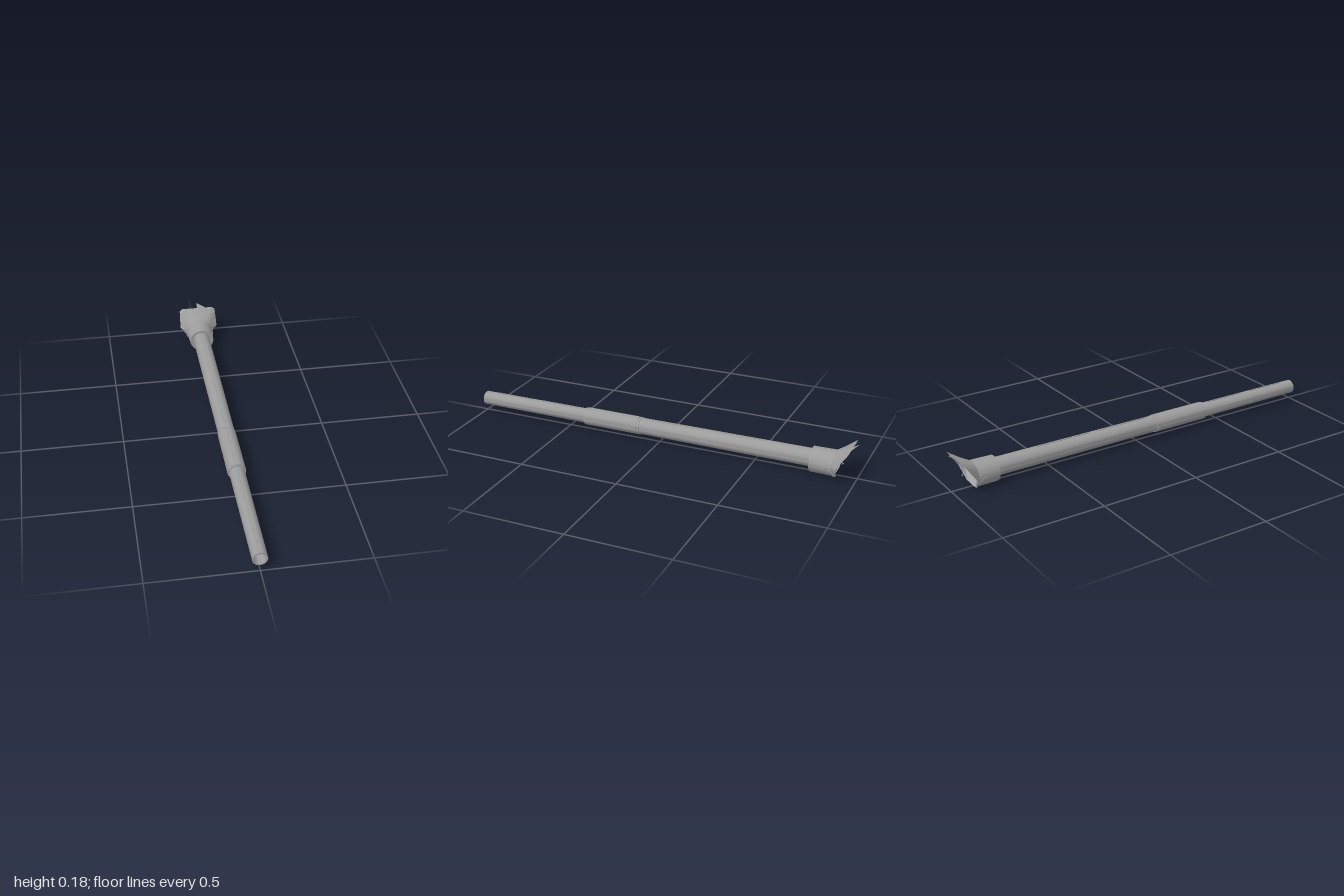
import * as THREE from 'three';
import { toCreasedNormals } from 'three/addons/utils/BufferGeometryUtils.js';

const steel = new THREE.MeshStandardMaterial({ color: 0x9c9c9c });
const steelThin = new THREE.MeshStandardMaterial({ color: 0x9c9c9c, side: THREE.DoubleSide });
const paleSteel = new THREE.MeshStandardMaterial({ color: 0xbbbbbb });
const AXIS = new THREE.Vector3(-0.002, 0.066, 0);

export function createModel() {
  const group = new THREE.Group();

  const add = (name, geometry, material = steel) => {
    const mesh = new THREE.Mesh(geometry, material);
    mesh.name = name;
    group.add(mesh);
    return mesh;
  };

  // Turned part along z; profile is [radius, z] with z rising on the outside
  const turned = (name, profile) => {
    const g = new THREE.LatheGeometry(profile.map(([r, z]) => new THREE.Vector2(r, z)), 32);
    g.rotateX(Math.PI / 2);
    add(name, toCreasedNormals(g, 0.5)).position.copy(AXIS);
  };

  // Barrel sections, front one with an open bore
  turned('rearBarrel', [[0.044, -0.86], [0.044, -0.78], [0.041, 0.12]]);
  turned('boreEvacuator', [[0.038, 0.1], [0.044, 0.1], [0.044, 0.109], [0.042, 0.109],
    [0.042, 0.113], [0.0445, 0.113], [0.0445, 0.402], [0.042, 0.402], [0.042, 0.41], [0.034, 0.41]]);
  turned('frontBarrel', [[0.037, 0.39], [0.0348, 1], [0.028, 1], [0.027, 0.8], [0, 0.8]]);

  // Raised strips along the top
  for (const [z0, z1, r] of [[0.93, 0.72, 0.0352], [0.67, 0.45, 0.0363],
    [0.06, -0.23, 0.0415], [-0.27, -0.56, 0.0425]]) {
    const strip = add('topStrip', new THREE.BoxGeometry(0.006, 0.006, z0 - z1));
    strip.position.set(AXIS.x, AXIS.y + r, (z0 + z1) / 2);
  }

  // Mantlet collar: widens sideways toward the rear
  const cy = 0.061, backZ = -0.89, rearX = 0.071, rearY = 0.061;
  const collar = new THREE.CylinderGeometry(0.064, 0.064, 0.11, 32, 4);
  collar.rotateX(Math.PI / 2);
  const p = collar.attributes.position;
  for (let i = 0; i < p.count; i++) {
    const t = 0.5 - p.getZ(i) / 0.11;
    p.setX(i, p.getX(i) * (1 + t * (rearX / 0.064 - 1)));
    p.setY(i, p.getY(i) * rearY / 0.064);
  }
  add('mantletCollar', toCreasedNormals(collar, 0.6)).position.set(0, cy, backZ + 0.055);

  // Pale plate closing the rear of the collar
  const plate = new THREE.CircleGeometry(1, 32);
  plate.scale(rearX, rearY, 1);
  plate.rotateY(Math.PI);
  add('rearPlate', plate, paleSteel).position.set(0, cy, backZ - 0.002);

  // Flared sheet from the collar rim to an angular outline
  const half = [[0, 0.002, -0.893], [0.05, 0.01, -0.898], [0.102, 0.072, -0.913],
    [0.099, 0.148, -0.966], [0.083, 0.158, -0.972], [0.045, 0.158, -0.972], [0, 0.158, -0.972]];
  const outline = [...half, ...half.slice(1, -1).reverse().map(([x, y, z]) => [-x, y, z])];
  const verts = [], index = [], steps = 4, count = outline.length * steps;
  outline.forEach((a, i) => {
    const b = outline[(i + 1) % outline.length];
    for (let s = 0; s < steps; s++) {
      const [x, y, z] = a.map((v, k) => v + (b[k] - v) * s / steps);
      const angle = Math.atan2(y - cy, x);
      verts.push(rearX * Math.cos(angle), cy + rearY * Math.sin(angle), backZ + 0.001, x, y, z);
      const n = 2 * (i * steps + s), m = (n + 2) % (2 * count);
      index.push(n, n + 1, m, m, n + 1, m + 1);
    }
  });
  const flare = new THREE.BufferGeometry();
  flare.setAttribute('position', new THREE.Float32BufferAttribute(verts, 3));
  flare.setIndex(index);
  add('mantletFlare', toCreasedNormals(flare, 0.4), steelThin);

  // Pointed flap on the upper edge
  const flap = new THREE.BufferGeometry();
  flap.setAttribute('position', new THREE.Float32BufferAttribute(
    [0, 0.158, -0.972, 0.047, 0.158, -0.972, 0, 0.176, -1], 3));
  flap.computeVertexNormals();
  add('topFlap', flap, steelThin);

  // Thin crossed rods on each side of the collar
  const rod = (a, b) => {
    const curve = new THREE.LineCurve3(new THREE.Vector3(...a), new THREE.Vector3(...b));
    add('sideRod', new THREE.TubeGeometry(curve, 1, 0.0018, 6));
  };
  for (const s of [-1, 1]) {
    rod([s * 0.071, 0.082, -0.905], [s * 0.069, 0.022, -0.908]);
    rod([s * 0.072, 0.066, -0.85], [s * 0.069, 0.028, -0.915]);
    rod([s * 0.07, 0.052, -0.84], [s * 0.074, 0.074, -0.92]);
  }
  return group;
}
